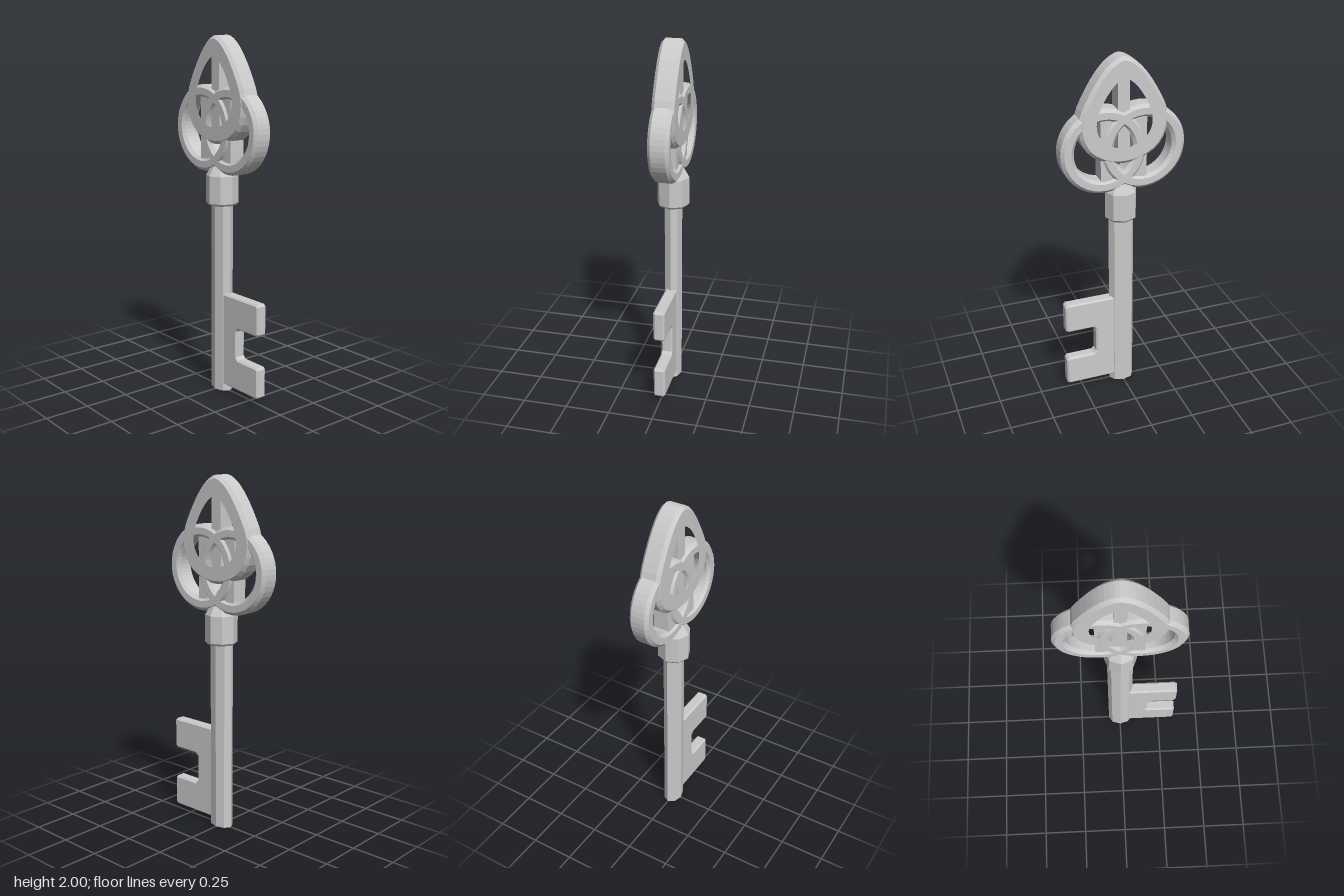
import * as THREE from 'three';

const material = new THREE.MeshStandardMaterial({ color: 0xcccccc, flatShading: true });

// Extrude an outline centred on z = 0, with chamfers kept inside the outline.
function plate(shape, halfDepth, bevel) {
  const g = new THREE.ExtrudeGeometry(shape, {
    depth: 2 * (halfDepth - bevel), steps: 1, curveSegments: 24,
    bevelEnabled: true, bevelSegments: 1, bevelThickness: bevel, bevelSize: bevel, bevelOffset: -bevel,
  });
  return g.translate(0, 0, -(halfDepth - bevel));
}

// Smooth closed loop from its right half, listed from top to bottom.
function mirroredLoop(half, count) {
  const left = half.slice(1, -1).reverse().map(([x, y]) => [-x, y]);
  const pts = [...half, ...left].map(([x, y]) => new THREE.Vector3(x, y, 0));
  return new THREE.CatmullRomCurve3(pts, true).getPoints(count).slice(0, -1)
    .map((p) => new THREE.Vector2(p.x, p.y));
}

export function createModel() {
  const key = new THREE.Group();
  key.name = 'key';
  const add = (name, geometry) => {
    const mesh = new THREE.Mesh(geometry, material);
    mesh.name = name;
    key.add(mesh);
    return mesh;
  };

  // Bow: two overlapping rings, each with an upright bar
  for (const side of [-1, 1]) {
    const label = side > 0 ? 'left' : 'right';
    const ring = new THREE.Shape().absarc(side * 0.11, 1.497, 0.238, 0, Math.PI * 2);
    ring.holes.push(new THREE.Path().absarc(side * 0.11, 1.497, 0.165, 0, Math.PI * 2));
    add(label + 'Ring', plate(ring, 0.057, 0.018));
    add(label + 'Bar', new THREE.BoxGeometry(0.066, 0.38, 0.09).translate(side * 0.097, 1.497, 0));
  }

  // Pointed loop and its centre bar
  const loop = new THREE.Shape(mirroredLoop([
    [0, 2], [0.06, 1.975], [0.125, 1.91], [0.2, 1.79], [0.243, 1.69],
    [0.245, 1.6], [0.2, 1.5], [0.11, 1.438], [0, 1.418],
  ], 40));
  loop.holes.push(new THREE.Path(mirroredLoop([
    [0, 1.908], [0.035, 1.895], [0.085, 1.85], [0.142, 1.76], [0.17, 1.68],
    [0.168, 1.61], [0.135, 1.55], [0.07, 1.506], [0, 1.49],
  ], 40)));
  add('pointedLoop', plate(loop, 0.06, 0.018));
  add('centreBar', new THREE.BoxGeometry(0.066, 0.48, 0.09).translate(0, 1.7, 0));

  // Eight-sided collar with a tapered top
  const collar = [[0, 1.08], [0.08, 1.08], [0.09, 1.092], [0.09, 1.245], [0.06, 1.295], [0, 1.3]];
  add('collar', new THREE.LatheGeometry(collar.map(([r, y]) => new THREE.Vector2(r, y)), 8)
    .translate(0.003, 0, 0));

  // Oval shaft
  add('shaft', new THREE.CylinderGeometry(0.073, 0.073, 1.1, 8)
    .scale(1, 1, 0.69).translate(0.001, 0.55, 0));

  // Bit with two teeth; corners slightly cut
  const bit = new THREE.Shape([
    [0.02, 0.04], [0.333, 0.04], [0.345, 0.052], [0.345, 0.208], [0.333, 0.22],
    [0.18, 0.22], [0.165, 0.235], [0.165, 0.385], [0.18, 0.4], [0.333, 0.4],
    [0.345, 0.412], [0.345, 0.568], [0.333, 0.58], [0.02, 0.58],
  ].map(([x, y]) => new THREE.Vector2(x, y)));
  add('bit', plate(bit, 0.032, 0.009));

  return key;
}
